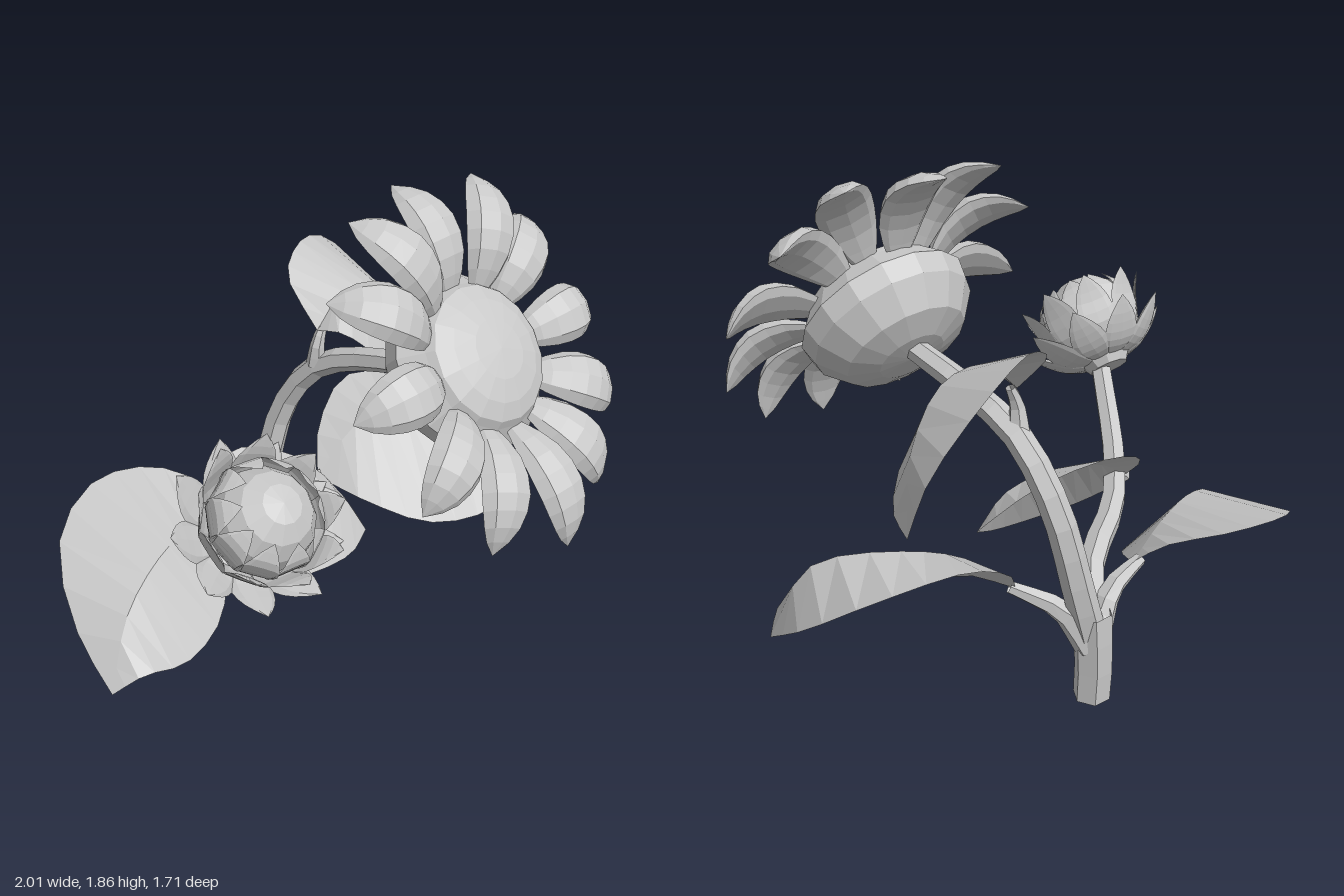
import * as THREE from 'three';
import { ParametricGeometry } from 'three/addons/geometries/ParametricGeometry.js';

const V = (x, y, z) => new THREE.Vector3(x, y, z);
const UP = V(0, 1, 0);
const spline = points => new THREE.CatmullRomCurve3(points.map(p => V(...p)));

export function createModel() {
  const model = new THREE.Group();
  const grey = new THREE.MeshStandardMaterial({ color: 0xc8c8c8, flatShading: true, side: THREE.DoubleSide });
  grey.name = 'lightGrey';

  function add(parent, name, geometry) {
    const mesh = new THREE.Mesh(geometry, grey);
    mesh.name = name;
    parent.add(mesh);
    return mesh;
  }

  // Six-sided stem along a smooth path, tapering from r0 to r1
  function stem(name, points, r0, r1, segments = 8) {
    const curve = spline(points);
    const geo = new THREE.TubeGeometry(curve, segments, r0, 6);
    const pos = geo.attributes.position, p = V(0, 0, 0);
    for (let i = 0; i < pos.count; i++) {
      const t = Math.floor(i / 7) / segments;
      const centre = curve.getPointAt(t);
      p.fromBufferAttribute(pos, i).sub(centre).multiplyScalar(THREE.MathUtils.lerp(1, r1 / r0, t)).add(centre);
      pos.setXYZ(i, p.x, p.y, p.z);
    }
    add(model, name, geo);
  }

  // Thin drooping leaf, creased along its midrib; both edges share the rib's base and tip
  function leaf(name, rib, farEdge, nearEdge) {
    const base = rib[0], tip = rib[rib.length - 1];
    const middle = spline(rib);
    const edges = [farEdge, nearEdge].map(e => spline([base, ...e, tip]));
    const geo = new ParametricGeometry((u, v, out) => {
      const edge = edges[v < 0.5 ? 0 : 1].getPoint(u);
      out.copy(middle.getPoint(u)).lerp(edge, Math.abs(v * 2 - 1));
    }, 12, 2);
    add(model, name, geo);
  }

  // Plump petal: spine given as [radius, height] points, pointing along +x
  function petalGeometry(spine, halfWidth, thickness, sharpness) {
    const curve = spline(spine.map(([r, h]) => [r, h, 0]));
    return new ParametricGeometry((u, v, out) => {
      const s = Math.pow(Math.max(0, Math.sin(Math.PI * (0.08 + 0.92 * u))), sharpness);
      const a = v * Math.PI * 2, c = Math.sin(a);
      out.copy(curve.getPoint(u));
      out.y += c * thickness * s * (c > 0 ? 1 : 0.5);
      out.z += Math.cos(a) * halfWidth * s;
    }, 8, 8);
  }

  function ring(parent, name, geo, count, offset = 0) {
    for (let i = 0; i < count; i++) {
      add(parent, name, geo).rotation.y = (i + offset) * Math.PI * 2 / count;
    }
  }

  function facing(name, position, direction) {
    const g = new THREE.Group();
    g.name = name;
    g.position.set(...position);
    g.quaternion.setFromUnitVectors(UP, V(...direction).normalize());
    model.add(g);
    return g;
  }

  // Trunk and branches
  stem('trunk', [[0.04, 0, -0.58], [0.04, 0.15, -0.585], [0.05, 0.36, -0.58]], 0.07, 0.075, 3);
  const foot = new THREE.CircleGeometry(0.07, 6);
  foot.rotateX(Math.PI / 2).translate(0.04, 0.003, -0.58);
  add(model, 'trunkFoot', foot);
  stem('flowerStem', [[0.06, 0.28, -0.58], [0.12, 0.48, -0.58], [0.19, 0.8, -0.53], [0.23, 1.02, -0.38],
    [0.26, 1.12, -0.17], [0.28, 1.2, 0.18]], 0.06, 0.043, 12);
  stem('budStem', [[0.04, 0.3, -0.58], [-0.08, 0.44, -0.43], [-0.33, 0.54, -0.27], [-0.46, 0.65, -0.13],
    [-0.63, 0.89, 0.14]], 0.055, 0.042, 10);
  stem('leafStalk', [[0.03, 0.25, -0.58], [-0.06, 0.4, -0.56], [-0.22, 0.46, -0.54]], 0.06, 0.024, 5);
  stem('leafStalk', [[0.06, 0.23, -0.58], [0.15, 0.38, -0.53], [0.29, 0.47, -0.41]], 0.06, 0.024, 5);
  stem('leafStalk', [[0.22, 1.04, -0.37], [0.22, 1.13, -0.36], [0.25, 1.2, -0.36]], 0.04, 0.018, 4);
  stem('leafStalk', [[-0.46, 0.59, -0.18], [-0.44, 0.61, -0.19], [-0.41, 0.62, -0.2]], 0.035, 0.015, 3);

  // Leaves
  leaf('lowerRightLeaf',
    [[-0.18, 0.46, -0.54], [-0.4, 0.52, -0.46], [-0.62, 0.53, -0.38], [-0.85, 0.44, -0.29], [-1, 0.2, -0.22]],
    [[-0.22, 0.58, -0.68], [-0.36, 0.63, -0.81], [-0.57, 0.63, -0.85], [-0.82, 0.54, -0.73], [-0.98, 0.36, -0.43]],
    [[-0.32, 0.36, -0.34], [-0.5, 0.26, -0.19], [-0.72, 0.23, -0.13], [-0.9, 0.27, -0.15]]);
  leaf('lowerLeftLeaf',
    [[0.27, 0.46, -0.42], [0.47, 0.64, -0.39], [0.68, 0.71, -0.32], [0.89, 0.62, -0.08], [0.98, 0.29, 0.08]],
    [[0.39, 0.61, -0.53], [0.63, 0.735, -0.6], [0.86, 0.68, -0.5], [1, 0.48, -0.22]],
    [[0.32, 0.42, -0.18], [0.48, 0.33, 0.02], [0.72, 0.3, 0.12], [0.89, 0.35, 0.16]]);
  leaf('upperLeftLeaf',
    [[0.22, 1.19, -0.36], [0.36, 1.31, -0.36], [0.55, 1.29, -0.38], [0.72, 1.12, -0.45], [0.8, 0.89, -0.54]],
    [[0.24, 1.36, -0.54], [0.38, 1.43, -0.62], [0.6, 1.37, -0.7], [0.8, 1.16, -0.68]],
    [[0.24, 1.21, -0.24], [0.37, 1.09, -0.16], [0.56, 0.99, -0.19], [0.72, 0.89, -0.34]]);
  leaf('upperRightLeaf',
    [[-0.45, 0.6, -0.2], [-0.3, 0.7, -0.23], [-0.12, 0.72, -0.18], [0.05, 0.64, -0.09], [0.13, 0.46, -0.01]],
    [[-0.43, 0.69, -0.3], [-0.32, 0.79, -0.39], [-0.17, 0.82, -0.39], [0.03, 0.73, -0.27], [0.12, 0.57, -0.12]],
    [[-0.46, 0.53, -0.14], [-0.36, 0.45, -0.05], [-0.18, 0.42, 0], [0.02, 0.42, 0.02]]);

  // Open flower: bowl and domed centre
  const flower = facing('flower', [0.28, 1.31, 0.37], [0, 0.61, 0.79]);
  const bowl = [[0, -0.26], [0.13, -0.25], [0.24, -0.21], [0.32, -0.11], [0.335, -0.03], [0.27, 0.05]];
  add(flower, 'flowerBowl', new THREE.LatheGeometry(bowl.map(p => new THREE.Vector2(...p)), 16));
  const dome = [[0.27, 0.05], [0.25, 0.08], [0.19, 0.11], [0.11, 0.13], [0, 0.14]];
  add(flower, 'flowerCentre', new THREE.LatheGeometry(dome.map(p => new THREE.Vector2(...p)), 16));

  // Twelve petals, mirrored left and right: angle, length and lift in turn
  const petal = petalGeometry([[0.24, 0.02], [0.36, 0.08], [0.49, 0.095], [0.6, 0.06], [0.68, 0]],
    0.108, 0.06, 0.75);
  const petals = [[90, 0.68, 0], [62, 0.69, 0.1], [37, 0.655, 0.03], [0, 0.63, 0], [-35, 0.655, 0],
    [-63, 0.7, -0.03], [-90, 0.745, 0.01]];
  for (const [degrees, length, lift] of petals) {
    for (const angle of Math.abs(degrees) === 90 ? [degrees] : [degrees, 180 - degrees]) {
      const mesh = add(flower, 'petal', petal);
      mesh.rotation.set(0, THREE.MathUtils.degToRad(angle), lift);
      mesh.scale.x = length / 0.68;
    }
  }

  // Bud: ball, base cap and layers of sepals
  const bud = facing('bud', [-0.68, 1.06, 0.28], [-0.06, 0.74, 0.67]);
  add(bud, 'budBall', new THREE.SphereGeometry(0.178, 12, 8));
  add(bud, 'budBase', new THREE.CylinderGeometry(0.15, 0.08, 0.11, 10)).position.y = -0.165;
  ring(bud, 'outerSepal', petalGeometry([[0.07, -0.19], [0.16, -0.16], [0.24, -0.1], [0.31, -0.03]],
    0.075, 0.025, 0.9), 9);
  ring(bud, 'middleSepal', petalGeometry([[0.1, -0.16], [0.18, -0.08], [0.22, 0.03], [0.26, 0.11]],
    0.075, 0.025, 0.9), 9, 0.5);
  ring(bud, 'innerSepal', petalGeometry([[0.13, -0.11], [0.18, -0.02], [0.185, 0.07], [0.13, 0.15]],
    0.07, 0.015, 0.9), 10, 0.25);

  return model;
}
